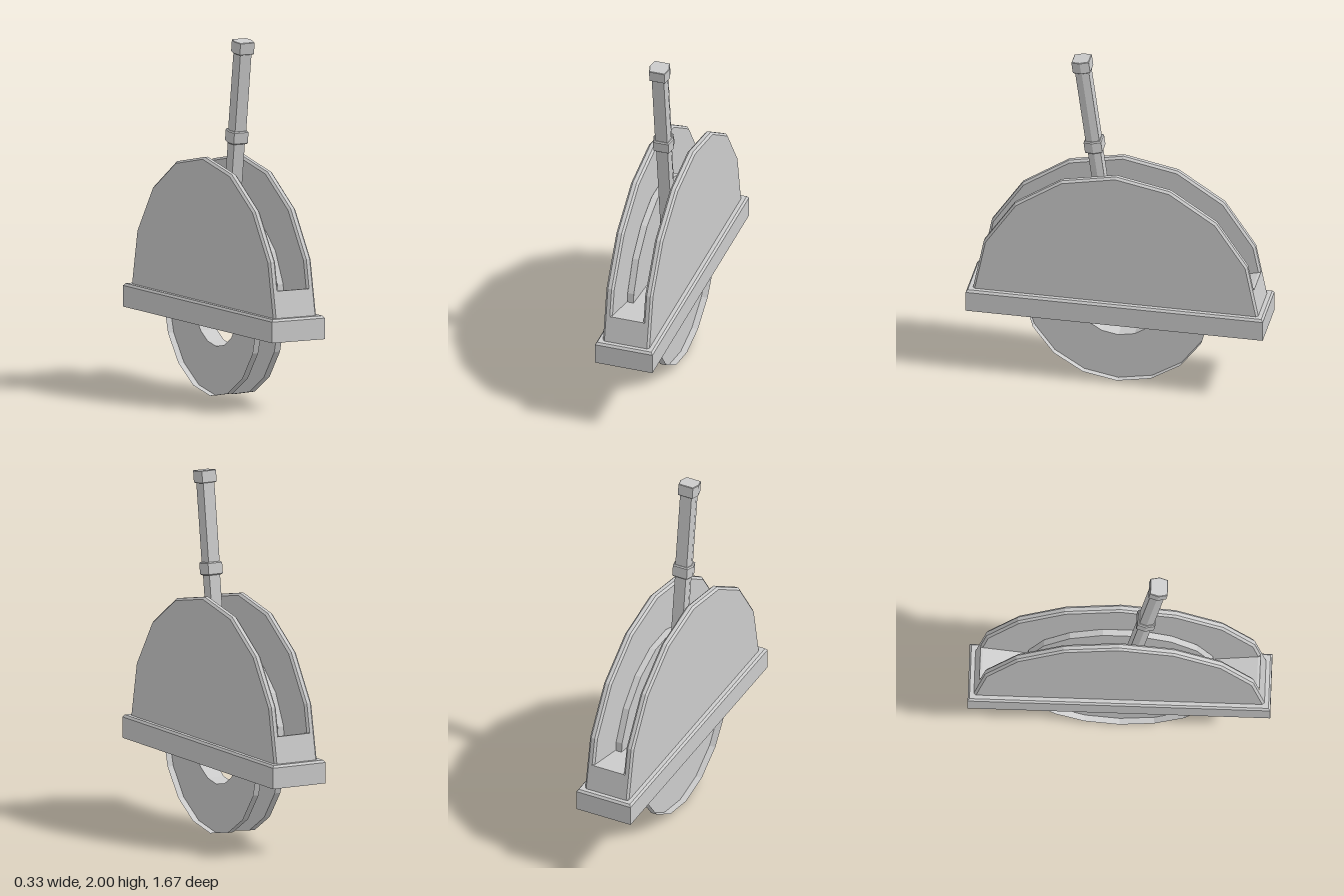
import * as THREE from 'three';

const material = new THREE.MeshStandardMaterial({ color: 0xcccccc, flatShading: true, side: THREE.DoubleSide });

function add(parent, name, geometry) {
  const mesh = new THREE.Mesh(geometry, material);
  mesh.name = name;
  parent.add(mesh);
}

// Skin between rows of [x, y, z] points; each row may be closed into a ring
function skin(rows, closed) {
  const position = [], index = [], n = rows[0].length;
  rows.forEach(row => row.forEach(p => position.push(...p)));
  for (let r = 0; r < rows.length - 1; r++) {
    for (let i = 0; i < (closed ? n : n - 1); i++) {
      const a = r * n + i, b = r * n + (i + 1) % n;
      index.push(a, b + n, b, a, a + n, b + n);
    }
  }
  const g = new THREE.BufferGeometry();
  g.setAttribute('position', new THREE.Float32BufferAttribute(position, 3));
  g.setIndex(index);
  const flat = g.toNonIndexed();
  flat.computeVertexNormals();
  return flat;
}

// Rectangle with cut corners in the ground plane
function cutRect(hx, hz, c) {
  return [[hx, hz - c], [hx - c, hz], [c - hx, hz], [-hx, hz - c],
    [-hx, c - hz], [c - hx, -hz], [hx - c, -hz], [hx, c - hz]];
}

// Faceted half-round outline as [z, y], cut off at a given height
const BASE_Y = 0.53, LIP_Y = 0.677;
function archPoints(radius, startY) {
  const points = [];
  for (let i = 0; i <= 8; i++) {
    const a = i * Math.PI / 8;
    points.push([radius * Math.cos(a), BASE_Y + radius * Math.sin(a)]);
  }
  for (const [end, next] of [[0, 1], [8, 7]]) {
    const [z0, y0] = points[end], [z1, y1] = points[next];
    points[end] = [z0 + (z1 - z0) * (startY - y0) / (y1 - y0), startY];
  }
  return points;
}

// Flat face in the zy plane, from a list of [z, y]
function sideFace(points, x) {
  const shape = new THREE.Shape(points.map(([z, y]) => new THREE.Vector2(-z, y)));
  return new THREE.ShapeGeometry(shape).rotateY(Math.PI / 2).translate(x, 0, 0);
}

// Flattened six-sided bar with slightly bevelled ends, standing from y0 to y1
function bar(hx, hz, y0, y1, bevel) {
  const loop = (inset, y) => {
    const x = hx - inset, z = hz - inset, e = x * 0.78;
    return [[x, y, 0], [e, y, z], [-e, y, z], [-x, y, 0], [-e, y, -z], [e, y, -z]];
  };
  const point = y => Array.from({ length: 6 }, () => [0, y, 0]);
  return skin([point(y0), loop(bevel, y0), loop(0, y0 + bevel),
    loop(0, y1 - bevel), loop(bevel, y1), point(y1)], true);
}

export function createModel() {
  const model = new THREE.Group();
  model.name = 'leverHousing';

  // Base frame, open underneath, with a bevelled top ledge
  const baseLoops = [[0.167, 0.833, 0.4], [0.167, 0.833, 0.517], [0.157, 0.823, 0.53], [0.13, 0.795, 0.53]];
  add(model, 'baseFrame', skin(baseLoops.map(([x, z, y]) =>
    [[x, y, z], [-x, y, z], [-x, y, -z], [x, y, -z]]), true));

  // Low end walls
  const lipZ = archPoints(0.8, LIP_Y)[0][0];
  add(model, 'lowerHousing', skin([[0.8, BASE_Y], [lipZ, LIP_Y]].map(([z, y]) =>
    cutRect(0.135, z, 0.012).map(p => [p[0], y, p[1]])), true));

  // Slot floor at each end, sloping down to the spool
  const halfFloor = [[lipZ, LIP_Y], [0.757, LIP_Y], [0.51, 0.615], [0.24, 0.585]];
  const backFloor = halfFloor.map(([z, y]) => [-z, y]).reverse();
  for (const [name, floor] of [['frontFloor', halfFloor], ['backFloor', backFloor]]) {
    add(model, name, skin([0.092, -0.092].map(x => floor.map(([z, y]) => [x, y, z])), false));
  }

  // Hollow side plates with a bevelled rim
  const innerOutline = [...archPoints(0.788, LIP_Y), ...backFloor.slice(0, -1).reverse(), ...halfFloor.slice(1).reverse()];
  for (const side of [1, -1]) {
    const plate = new THREE.Group();
    plate.name = side > 0 ? 'leftPlate' : 'rightPlate';
    model.add(plate);
    add(plate, 'outerFace', sideFace(archPoints(0.788, BASE_Y), side * 0.135));
    add(plate, 'innerFace', sideFace(innerOutline, side * 0.09));
    const rim = [[0.135, 0.788], [0.123, 0.8], [0.102, 0.8], [0.09, 0.788]].map(([x, r]) =>
      archPoints(r, LIP_Y).map(([z, y]) => [side * x, y, z]));
    add(plate, 'rim', skin(side > 0 ? rim : rim.reverse(), false));
  }

  // Thin-walled spool: open drum, flanges and outward rims, one corner pointing down
  const SIDES = 17;
  const spoolProfile = [[0.087, 0.527], [0.051, 0.527], [0.051, 0.253],
    [-0.051, 0.253], [-0.051, 0.527], [-0.087, 0.527]];
  add(model, 'spool', skin(spoolProfile.map(([x, r]) => Array.from({ length: SIDES }, (_, i) => {
    const a = i * 2 * Math.PI / SIDES;
    return [x, 0.527 - r * Math.cos(a), r * Math.sin(a)];
  })), true));

  // Lever leaning forward out of the drum
  const lever = new THREE.Group();
  lever.name = 'lever';
  lever.position.set(0, 0.525, 0.017);
  lever.rotation.x = 0.1345;
  model.add(lever);
  add(lever, 'leverRod', bar(0.043, 0.036, 0.235, 0.92, 0.002));
  add(lever, 'grip', bar(0.045, 0.039, 0.96, 1.43, 0.002));
  add(lever, 'lowerCollar', bar(0.057, 0.049, 0.902, 0.975, 0.006));
  add(lever, 'endCap', bar(0.057, 0.049, 1.413, 1.482, 0.003));

  return model;
}
